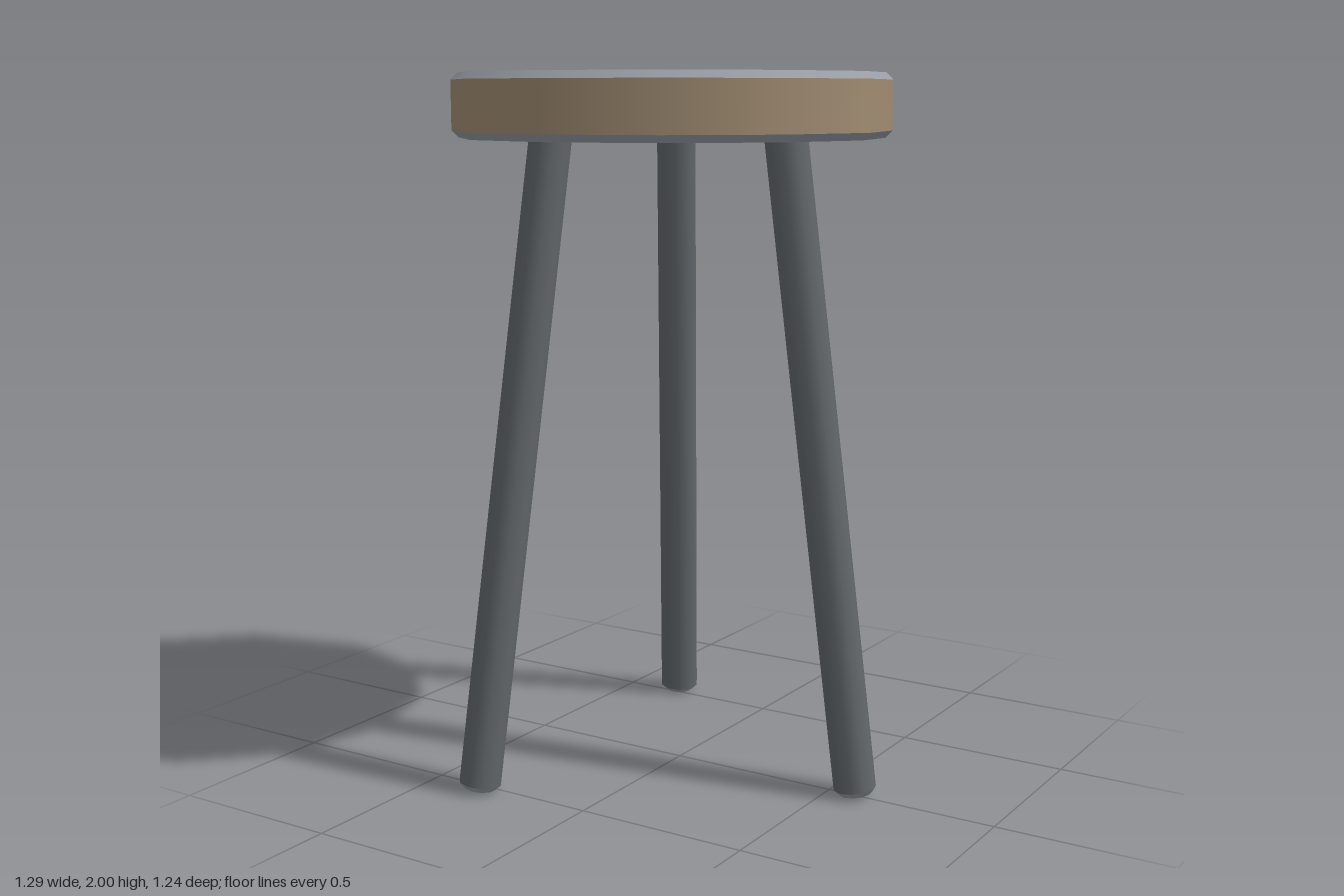
import * as THREE from 'three';

const wood = new THREE.MeshStandardMaterial({ name: 'wood', color: 0xa08c72 });
const darkMetal = new THREE.MeshStandardMaterial({ name: 'dark metal', color: 0x62676b });
const trim = new THREE.MeshStandardMaterial({ name: 'light grey trim', color: 0x989da5 });

// Upright prism or bevel ring from y0 to y1
function ring(name, rBottom, rTop, y0, y1, sides, material, open = false, start = 0) {
  const geometry = new THREE.CylinderGeometry(rTop, rBottom, y1 - y0, sides, 1, open, start);
  geometry.translate(0, (y0 + y1) / 2, 0);
  const mesh = new THREE.Mesh(geometry, material);
  mesh.name = name;
  return mesh;
}

// Flat polygon cap facing up or down
function cap(name, radius, y, sides, up, material, start = 0) {
  const geometry = new THREE.CircleGeometry(radius, sides, start);
  geometry.rotateX(up ? -Math.PI / 2 : Math.PI / 2);
  geometry.translate(0, y, 0);
  const mesh = new THREE.Mesh(geometry, material);
  mesh.name = name;
  return mesh;
}

// Twelve-sided seat with bevelled rims
function createSeat() {
  const seat = new THREE.Group();
  seat.name = 'seat';
  const r = 0.62, b = 0.02, bottom = 1.82, top = 2;
  seat.add(
    cap('seatTop', r - b, top, 12, true, wood),
    ring('seatUpperBevel', r, r - b, top - b, top, 12, trim, true),
    ring('seatSide', r, r, bottom + b, top - b, 12, wood, true),
    ring('seatLowerBevel', r - b, r, bottom, bottom + b, 12, trim, true),
    cap('seatUnderside', r - b, bottom, 12, false, wood)
  );
  return seat;
}

// Ten-sided leg leaning in towards the seat, foot at the pivot
function createLeg() {
  const leg = new THREE.Group();
  leg.name = 'leg';
  const r = 0.06, b = 0.016, start = Math.PI / 2;
  leg.add(
    ring('legShaft', r, r, b, 1.85, 10, darkMetal, true, start),
    ring('footBevel', r - b, r, 0, b, 10, trim, true, start),
    cap('footEnd', r - b, 0, 10, false, darkMetal)
  );
  leg.position.set(0.613, 0.006, 0);
  leg.rotation.z = Math.atan2(0.243, 1.814);
  return leg;
}

export function createModel() {
  const stool = new THREE.Group();
  stool.name = 'stool';
  const body = new THREE.Group();
  body.name = 'stoolBody';
  body.position.x = -0.03;
  body.add(createSeat());

  // Three legs, evenly spaced
  for (let i = 0; i < 3; i++) {
    const pivot = new THREE.Group();
    pivot.name = 'legPivot' + (i + 1);
    pivot.rotation.y = (i * Math.PI * 2) / 3;
    pivot.add(createLeg());
    body.add(pivot);
  }
  stool.add(body);
  return stool;
}
